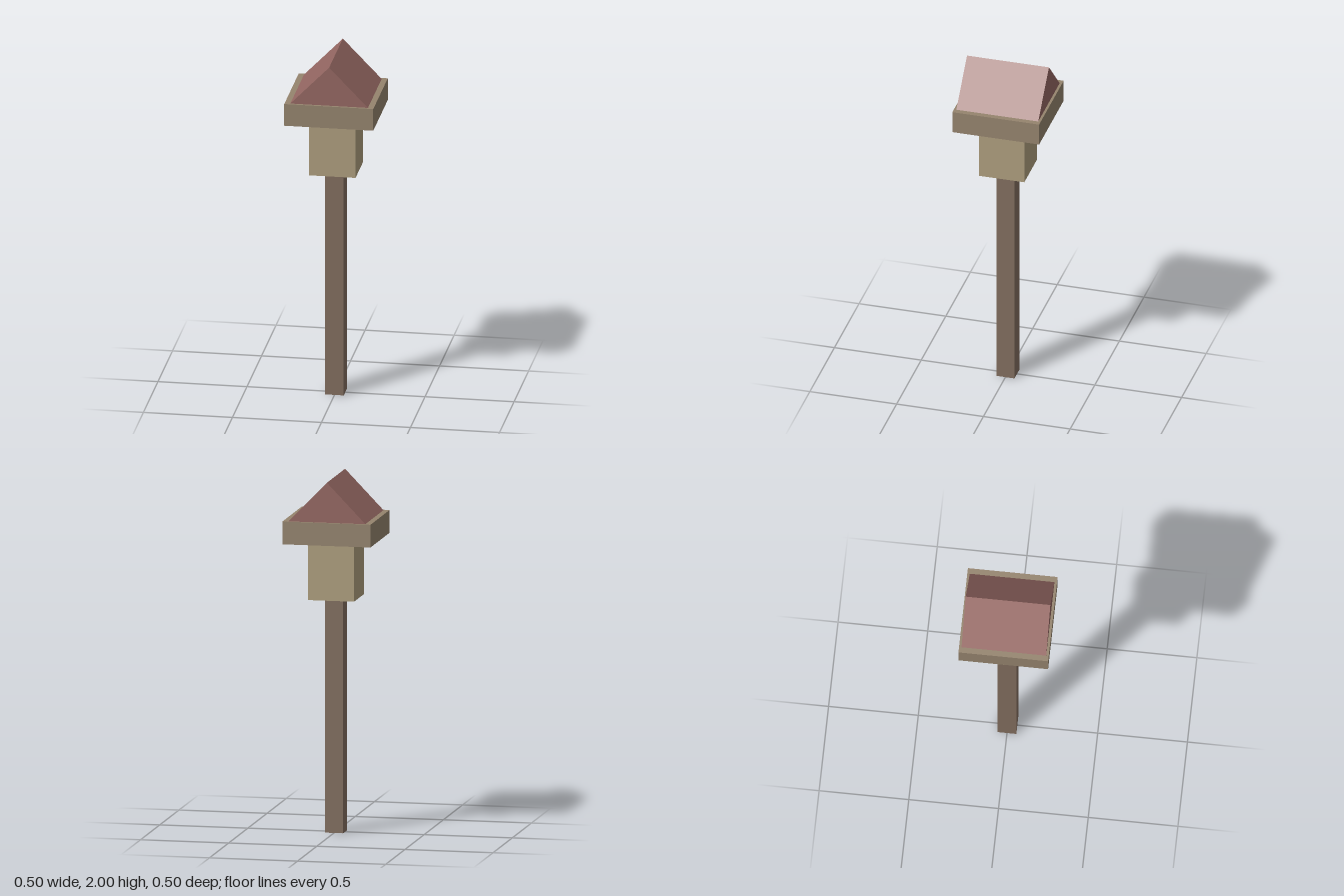
import * as THREE from 'three';

export function createModel() {
  const model = new THREE.Group();

  const add = (name, geometry, color) => {
    const material = new THREE.MeshStandardMaterial({ color, flatShading: true });
    const mesh = new THREE.Mesh(geometry, material);
    mesh.name = name;
    model.add(mesh);
    return mesh;
  };

  // Square block standing between two heights
  const block = (name, width, bottom, top, color) => {
    add(name, new THREE.BoxGeometry(width, top - bottom, width), color)
      .position.y = (bottom + top) / 2;
  };

  block('post', 0.104, 0, 1.318, 0x826e5f);
  block('house', 0.262, 1.318, 1.647, 0xae9e7e);
  block('eavesSlab', 0.5, 1.647, 1.775, 0x95846e);

  // Gabled roof, ridge running front to back
  const halfWidth = 0.218, eaves = 1.775, ridge = 2, depth = 0.472;
  const gable = new THREE.Shape([
    new THREE.Vector2(-halfWidth, eaves),
    new THREE.Vector2(halfWidth, eaves),
    new THREE.Vector2(0, ridge),
  ]);
  const roof = new THREE.ExtrudeGeometry(gable, { depth, bevelEnabled: false });
  roof.translate(0, 0, -depth / 2);
  add('roof', roof, 0x946762);

  return model;
}
